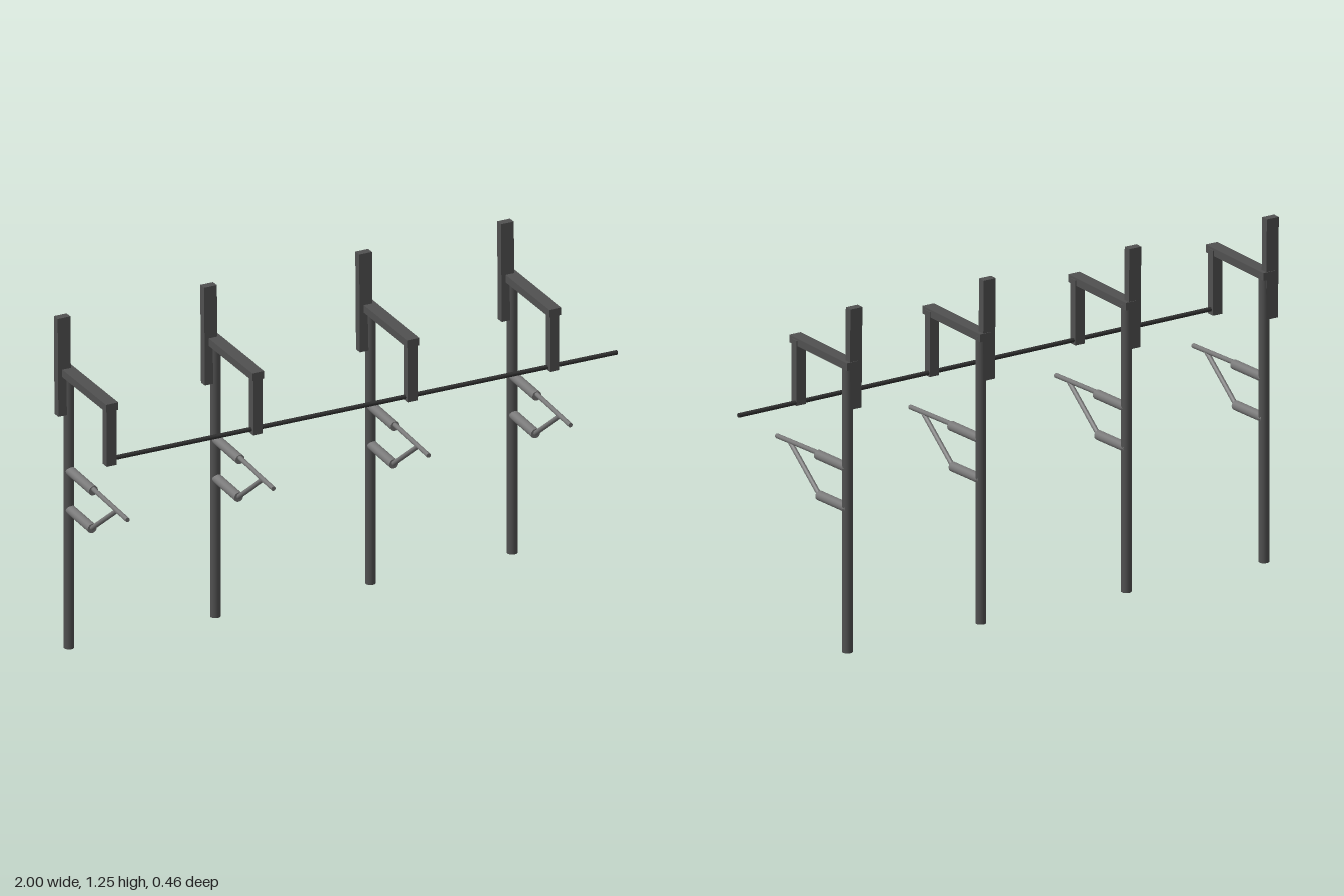
import * as THREE from 'three';

const timber = new THREE.MeshStandardMaterial({ color: 0x505050 });
const metal = new THREE.MeshStandardMaterial({ color: 0x787878 });
const cable = new THREE.MeshStandardMaterial({ color: 0x303030 });

// Round bar between two points
function bar(name, from, to, radius, material, sides = 16) {
  const a = new THREE.Vector3(...from);
  const b = new THREE.Vector3(...to);
  const axis = b.clone().sub(a);
  const mesh = new THREE.Mesh(new THREE.CylinderGeometry(radius, radius, axis.length(), sides), material);
  mesh.position.copy(a).add(b).multiplyScalar(0.5);
  mesh.quaternion.setFromUnitVectors(new THREE.Vector3(0, 1, 0), axis.normalize());
  mesh.name = name;
  return mesh;
}

// Squared timber given by its size and centre
function beam(name, size, centre) {
  const mesh = new THREE.Mesh(new THREE.BoxGeometry(...size), timber);
  mesh.position.set(...centre);
  mesh.name = name;
  return mesh;
}

function createMast(x) {
  const mast = new THREE.Group();
  mast.name = 'mast';
  mast.position.x = x;

  // Round post with a squared extension fixed to its side
  mast.add(bar('post', [0, 0, -0.206], [0, 1.04, -0.206], 0.0185, timber, 20));
  const extension = beam('topExtension', [0.049, 0.365, 0.029], [-0.022, 1.0625, -0.211]);
  extension.rotation.x = -0.015;
  mast.add(extension);

  // Overhanging arm and the hanger below it
  mast.add(beam('crossArm', [0.047, 0.028, 0.358], [-0.007, 1.039, -0.049]));
  mast.add(beam('hanger', [0.038, 0.235, 0.031], [0.001, 0.9275, 0.0955]));

  // Insulators and the bracket they carry
  mast.add(bar('upperInsulator', [0.001, 0.667, -0.208], [0.001, 0.661, -0.025], 0.0175, metal));
  mast.add(bar('lowerInsulator', [0.001, 0.522, -0.214], [0.001, 0.516, -0.034], 0.0175, metal));
  mast.add(bar('bracketRod', [0.001, 0.668, -0.04], [0.001, 0.655, 0.23], 0.0085, metal, 12));
  mast.add(bar('bracketStrut', [0.001, 0.518, -0.034], [0.001, 0.656, 0.148], 0.0085, metal, 12));
  return mast;
}

export function createModel() {
  const model = new THREE.Group();
  model.name = 'overheadLineMasts';
  for (const x of [-0.956, -0.394, 0.202, 0.747]) model.add(createMast(x));
  // Long cable passing through every hanger
  model.add(bar('feederCable', [-0.972, 0.83, 0.095], [1, 0.818, 0.087], 0.008, cable, 12));
  return model;
}
